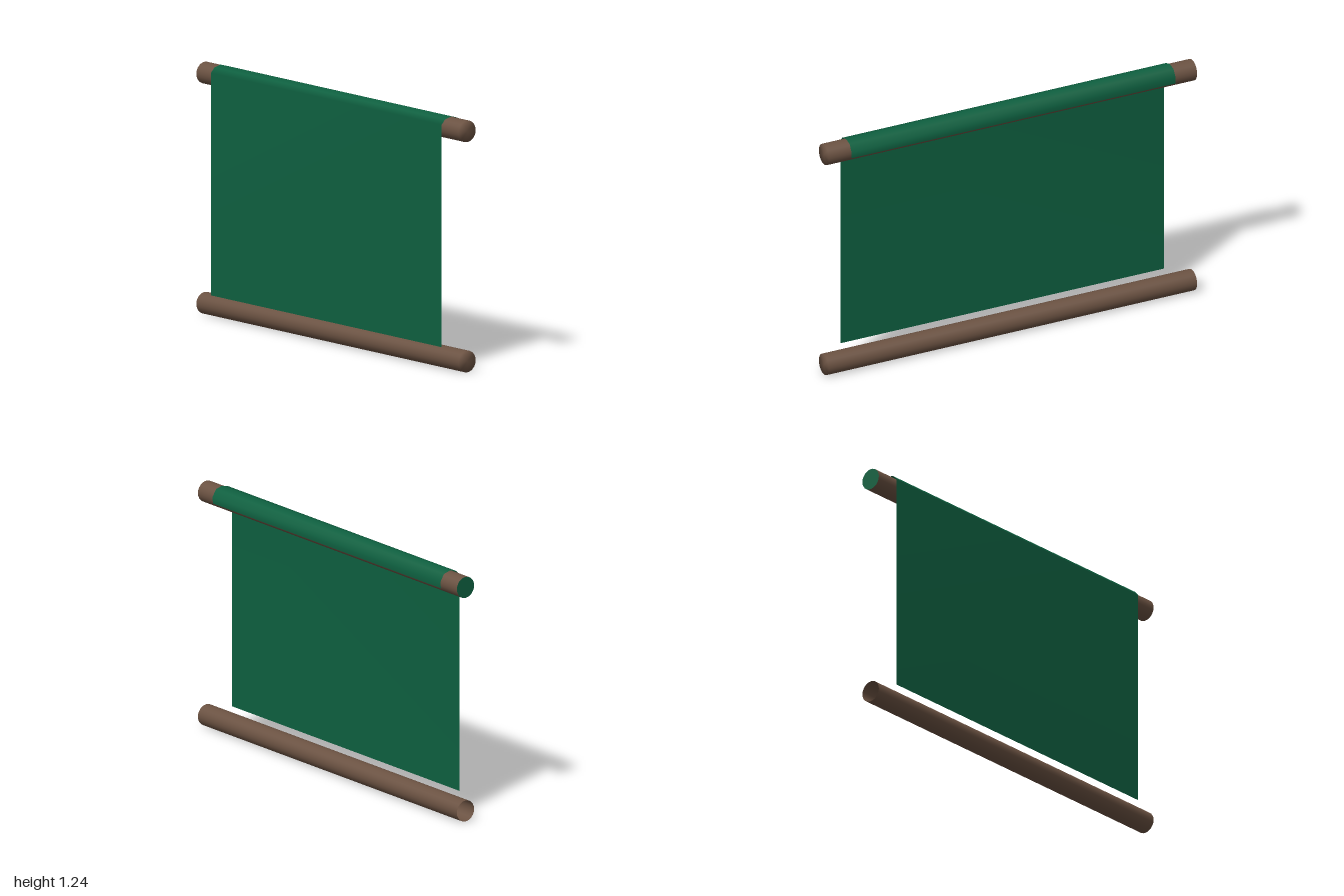
import * as THREE from 'three';

const ROD_RADIUS = 0.053;
const TOP_Y = 1.181;

export function createModel() {
  const wood = new THREE.MeshStandardMaterial({ color: 0x6b5242, side: THREE.DoubleSide });
  wood.name = 'brown wood';
  const fabric = new THREE.MeshStandardMaterial({ color: 0x0e6040, side: THREE.DoubleSide });
  fabric.name = 'green fabric';

  const model = new THREE.Group();
  model.name = 'hangingScroll';

  const add = (name, geometry, material, y = 0) => {
    const mesh = new THREE.Mesh(geometry, material);
    mesh.name = name;
    mesh.position.y = y;
    model.add(mesh);
  };

  // Rods: softly shaded closed front end, open back end
  const rodProfile = [[ROD_RADIUS, -1], [ROD_RADIUS, 1], [0, 1]].map(([r, y]) => new THREE.Vector2(r, y));
  const rod = new THREE.LatheGeometry(rodProfile, 24).rotateX(Math.PI / 2);
  add('topRod', rod, wood, TOP_Y);
  add('bottomRod', rod, wood, ROD_RADIUS);

  // Flat disc closing the back of the top rod
  const cap = new THREE.CircleGeometry(ROD_RADIUS, 24).rotateY(Math.PI).translate(0, 0, -1);
  add('topRodBackCap', cap, fabric, TOP_Y);

  // Cloth: hanging sheet that folds over the top rod
  const fold = [
    [-0.06, 0.113], [-0.06, 1.203], [-0.039, 1.227], [0, 1.237],
    [0.037, 1.227], [0.059, 1.19], [0.056, 1.158],
  ];
  const last = fold.length - 1;
  const cloth = new THREE.PlaneGeometry(1.76, 1, 1, last);
  const pos = cloth.attributes.position;
  for (let i = 0; i < pos.count; i++) {
    const [x, y] = fold[Math.round((pos.getY(i) + 0.5) * last)];
    pos.setXYZ(i, x, y, pos.getX(i));
  }
  cloth.computeVertexNormals();
  add('cloth', cloth, fabric);

  // Slight twist of the whole piece
  model.rotation.y = 0.004;
  const root = new THREE.Group();
  root.name = 'scrollRoot';
  root.add(model);
  return root;
}
